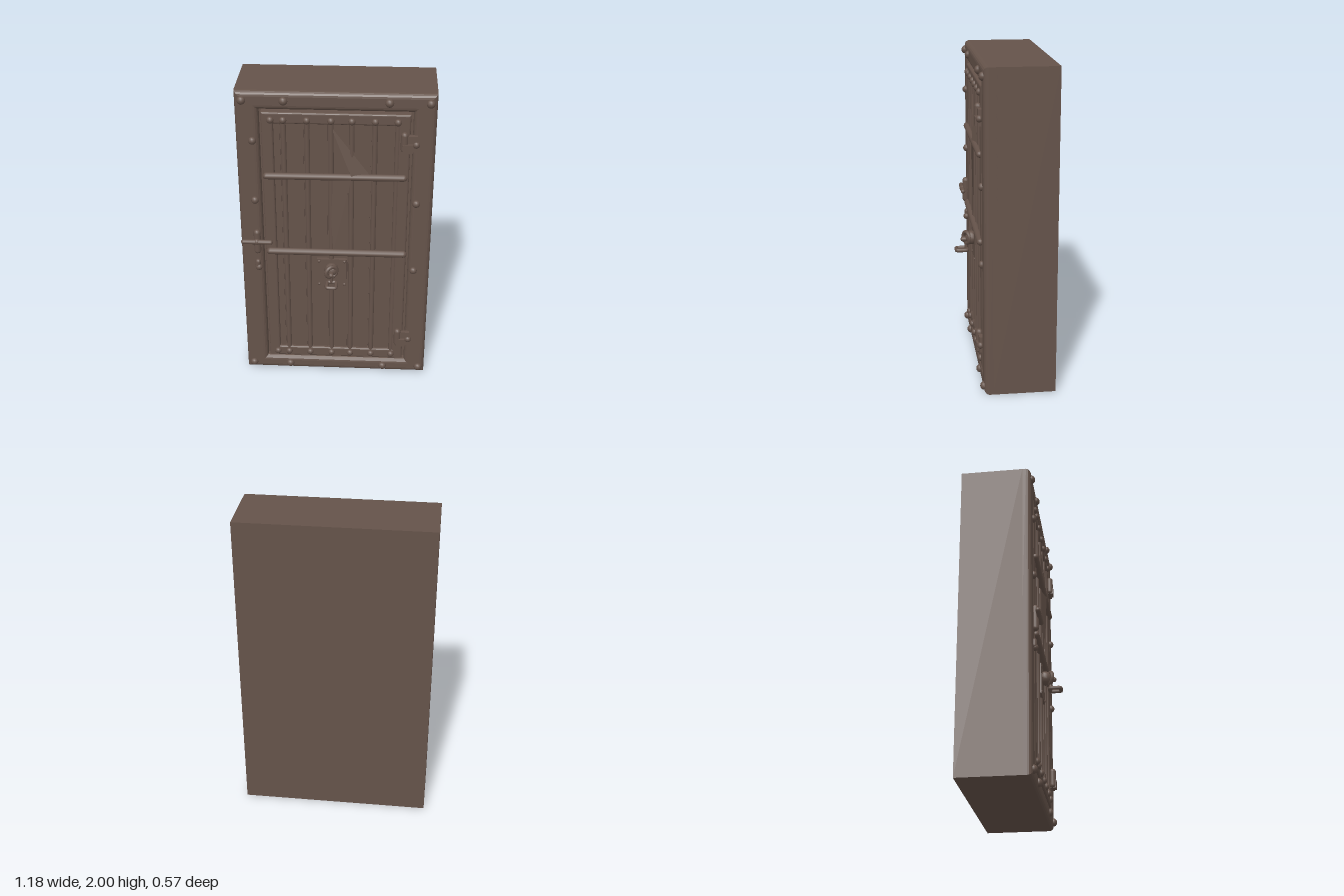
import * as THREE from 'three';

const iron = new THREE.MeshStandardMaterial({ color: 0x65534a });
iron.name = 'brown iron';
iron.side = THREE.DoubleSide;

export function createModel() {
  const model = new THREE.Group();

  function add(name, geometry, x = 0, y = 0, z = 0, parent = model) {
    const mesh = new THREE.Mesh(geometry, iron);
    mesh.name = name;
    mesh.position.set(x, y, z);
    parent.add(mesh);
    return mesh;
  }
  const box = (name, w, h, d, x, y, z) => add(name, new THREE.BoxGeometry(w, h, d), x, y, z);

  function rectPoints(w, h, x, y) {
    return [[-1, -1], [1, -1], [1, 1], [-1, 1]].map(([i, j]) => new THREE.Vector2(x + i * w / 2, y + j * h / 2));
  }

  // Bevelled rectangular border between z0 and z1, with an opening
  function border(name, outer, inner, z0, z1, bevel) {
    const shape = new THREE.Shape(rectPoints(...outer));
    shape.holes.push(new THREE.Path(rectPoints(...inner)));
    const geometry = new THREE.ExtrudeGeometry(shape, {
      depth: z1 - z0 - 2 * bevel, bevelEnabled: true, bevelSize: bevel,
      bevelThickness: bevel, bevelOffset: -bevel, bevelSegments: 4,
    });
    return add(name, geometry, 0, 0, z0 + bevel);
  }

  // Rod with rounded ends between two points
  function rod(name, a, b, radius) {
    const p = new THREE.Vector3(...a), q = new THREE.Vector3(...b);
    const dir = q.clone().sub(p);
    const mesh = add(name, new THREE.CapsuleGeometry(radius, dir.length() - 2 * radius, 4, 12));
    mesh.position.copy(p).add(q).multiplyScalar(0.5);
    mesh.quaternion.setFromUnitVectors(new THREE.Vector3(0, 1, 0), dir.normalize());
    return mesh;
  }

  function rivet(x, y, z, r) {
    const mesh = add('rivet', new THREE.SphereGeometry(r, 12, 8), x, y, z);
    mesh.scale.z = 0.9;
    return mesh;
  }

  // Deep wall block and the surround on its front
  box('wallBlock', 1.185, 2, 0.385, -0.002, 1, -0.0875);
  border('surround', [1.185, 2, -0.002, 1], [0.91, 1.79, 0, 0.99], 0.05, 0.158, 0.03);

  // Door leaf: border, back panel and planks
  border('doorBorder', [0.88, 1.765, 0, 0.99], [0.74, 1.62, 0, 0.99], 0.09, 0.158, 0.012);
  box('doorPanel', 0.78, 1.66, 0.03, 0, 0.99, 0.115);
  const barXs = [-0.385, -0.31, -0.17, -0.028, 0.095, 0.232, 0.365];
  for (let i = 0; i < barXs.length - 1; i++) {
    const w = barXs[i + 1] - barXs[i];
    box('plank', w - 0.045, 1.62, 0.02, barXs[i] + w / 2, 0.99, 0.13);
  }

  // Upright bars with rivets at both ends
  for (const x of barXs) {
    rod('uprightBar', [x, 0.14, 0.142], [x, 1.83, 0.142], 0.016);
    for (const y of [0.145, 1.825]) rivet(x, y, 0.158, 0.022);
  }

  // Two cross bars
  rod('crossBar', [-0.44, 1.46, 0.162], [0.43, 1.465, 0.162], 0.021);
  rod('crossBar', [-0.435, 0.93, 0.162], [0.445, 0.93, 0.162], 0.022);

  // Rivets on the surround
  for (const x of [-0.55, -0.305, 0.312, 0.55]) {
    for (const y of [0.045, 1.945]) rivet(x, y, 0.158, 0.026);
  }
  for (const [x, y] of [[-0.495, 1.69], [-0.495, 1.29], [0.49, 1.29], [0.49, 0.81]]) {
    rivet(x, y, 0.16, 0.024);
  }

  // Bent metal shards caught behind the cross bars
  function shard(points) {
    const geometry = new THREE.BufferGeometry();
    geometry.setAttribute('position', new THREE.Float32BufferAttribute(points.flat(), 3));
    geometry.computeVertexNormals();
    add('bentShard', geometry);
  }
  shard([[-0.04, 1.66, 0.145], [0.21, 1.47, 0.155], [0.01, 1.78, 0.15]]);
  shard([[-0.03, 1.79, 0.15], [0.1, 1.46, 0.18], [0.21, 1.47, 0.155]]);
  shard([[-0.045, 1.48, 0.148], [-0.015, 0.94, 0.165], [0.095, 1.46, 0.18]]);
  shard([[-0.16, 1.78, 0.148], [-0.07, 1.47, 0.165], [-0.045, 1.47, 0.148]]);

  // Bolt handle on the left of the surround
  rod('boltBar', [-0.59, 1.01, 0.193], [-0.39, 1.01, 0.193], 0.015);
  rod('boltLever', [-0.49, 0.915, 0.168], [-0.49, 1.085, 0.168], 0.022);
  rod('boltPin', [-0.49, 1.01, 0.14], [-0.49, 1.01, 0.21], 0.02);

  // Keyhole cover below the handle
  rod('keyholeCover', [-0.497, 0.8, 0.16], [-0.49, 0.865, 0.16], 0.018);
  rivet(-0.487, 0.81, 0.165, 0.022);

  // Lock plate, knob and pull loop
  box('lockPlate', 0.19, 0.2, 0.02, -0.025, 0.775, 0.15);
  for (const i of [-1, 1]) {
    for (const j of [-1, 1]) rivet(-0.025 + i * 0.08, 0.775 + j * 0.085, 0.158, 0.01);
  }
  rivet(-0.025, 0.81, 0.175, 0.045);
  const ring = add('knobRing', new THREE.TorusGeometry(0.036, 0.013, 8, 20), -0.025, 0.81, 0.205);
  ring.rotation.y = 0.5;
  rod('knobStem', [-0.025, 0.8, 0.15], [-0.025, 0.8, 0.245], 0.016);
  const loop = new THREE.CatmullRomCurve3([
    [-0.05, 0.205], [0, 0.205], [0.004, 0.235], [0, 0.27], [-0.05, 0.27], [-0.054, 0.235],
  ].map(([x, z]) => new THREE.Vector3(x + 0.002, 0.733, z)), true, 'catmullrom', 0.3);
  add('pullLoop', new THREE.TubeGeometry(loop, 40, 0.0125, 8, true));
  rod('loopHanger', [-0.025, 0.73, 0.208], [-0.025, 0.8, 0.208], 0.01);

  // Hinges on the right edge
  for (const y of [1.705, 0.295]) {
    rod('hingePin', [0.405, y - 0.065, 0.17], [0.405, y + 0.065, 0.17], 0.022);
    box('hingeKnuckle', 0.06, 0.055, 0.045, 0.425, y - 0.035, 0.17);
    box('hingeLeaf', 0.075, 0.1, 0.025, 0.445, y - 0.01, 0.165);
    rivet(0.475, y - 0.015, 0.17, 0.022);
  }

  return model;
}
